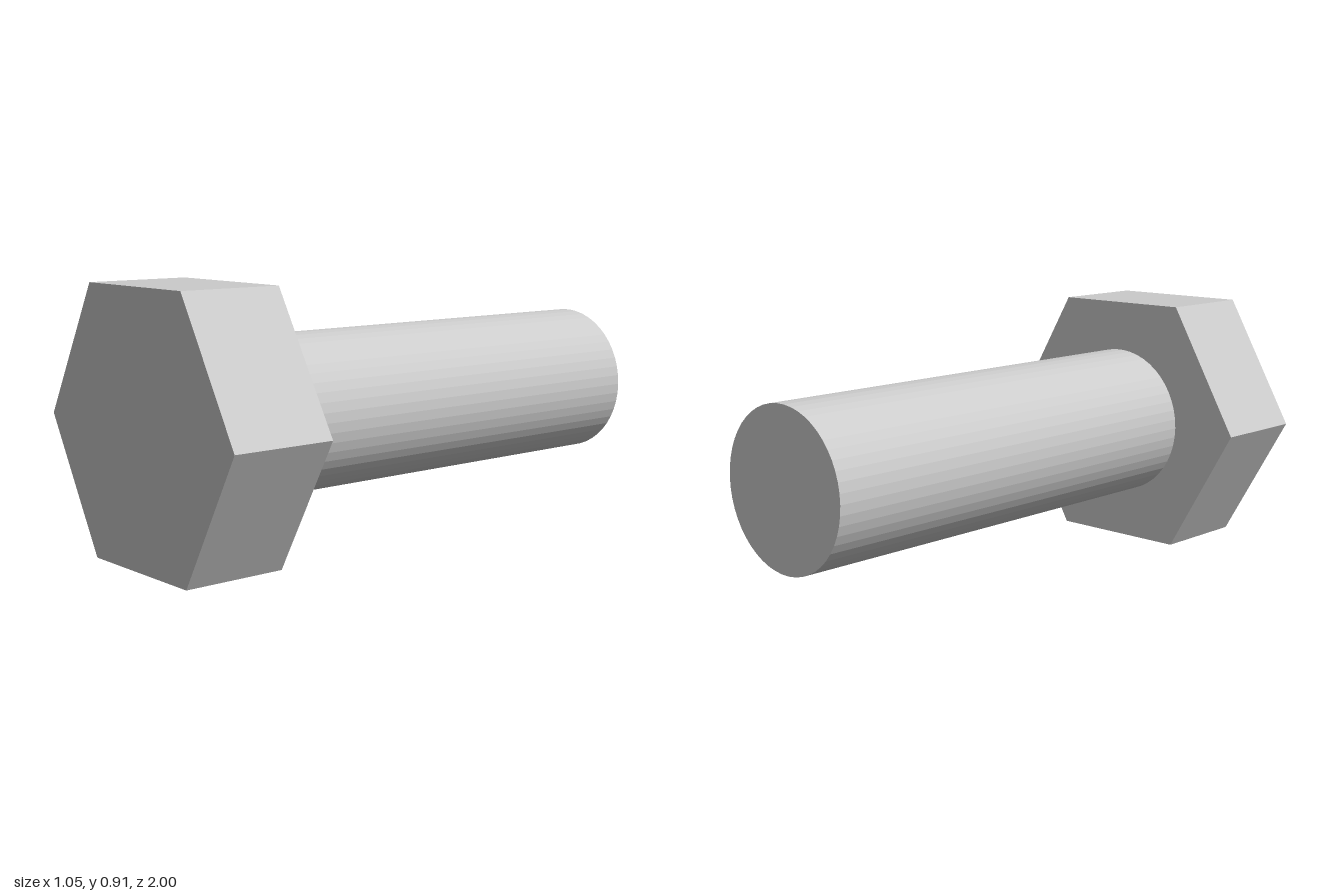
import * as THREE from 'three';

const UNIT = 2 / 11; // overall length is 11 units
const AXIS_Y = 2.5 * UNIT; // half the head's width across flats

// A prism or cylinder lying along z, between zBack and zFront
function rod(name, radius, sides, zBack, zFront) {
  const geometry = new THREE.CylinderGeometry(radius, radius, zFront - zBack, sides, 1, false, Math.PI / 2);
  geometry.rotateX(Math.PI / 2);
  const material = new THREE.MeshStandardMaterial({ color: 0xcccccc, flatShading: true });
  const mesh = new THREE.Mesh(geometry, material);
  mesh.name = name;
  mesh.position.set(0, AXIS_Y, (zBack + zFront) / 2);
  return mesh;
}

export function createModel() {
  const bolt = new THREE.Group();
  bolt.name = 'hexBolt';

  const headBack = 1 - 2 * UNIT;

  // Hexagonal head, flats at top and bottom
  bolt.add(rod('head', AXIS_Y / Math.cos(Math.PI / 6), 6, headBack, 1));

  // Plain round shank
  bolt.add(rod('shank', 1.5 * UNIT, 50, -1, headBack));

  return bolt;
}
